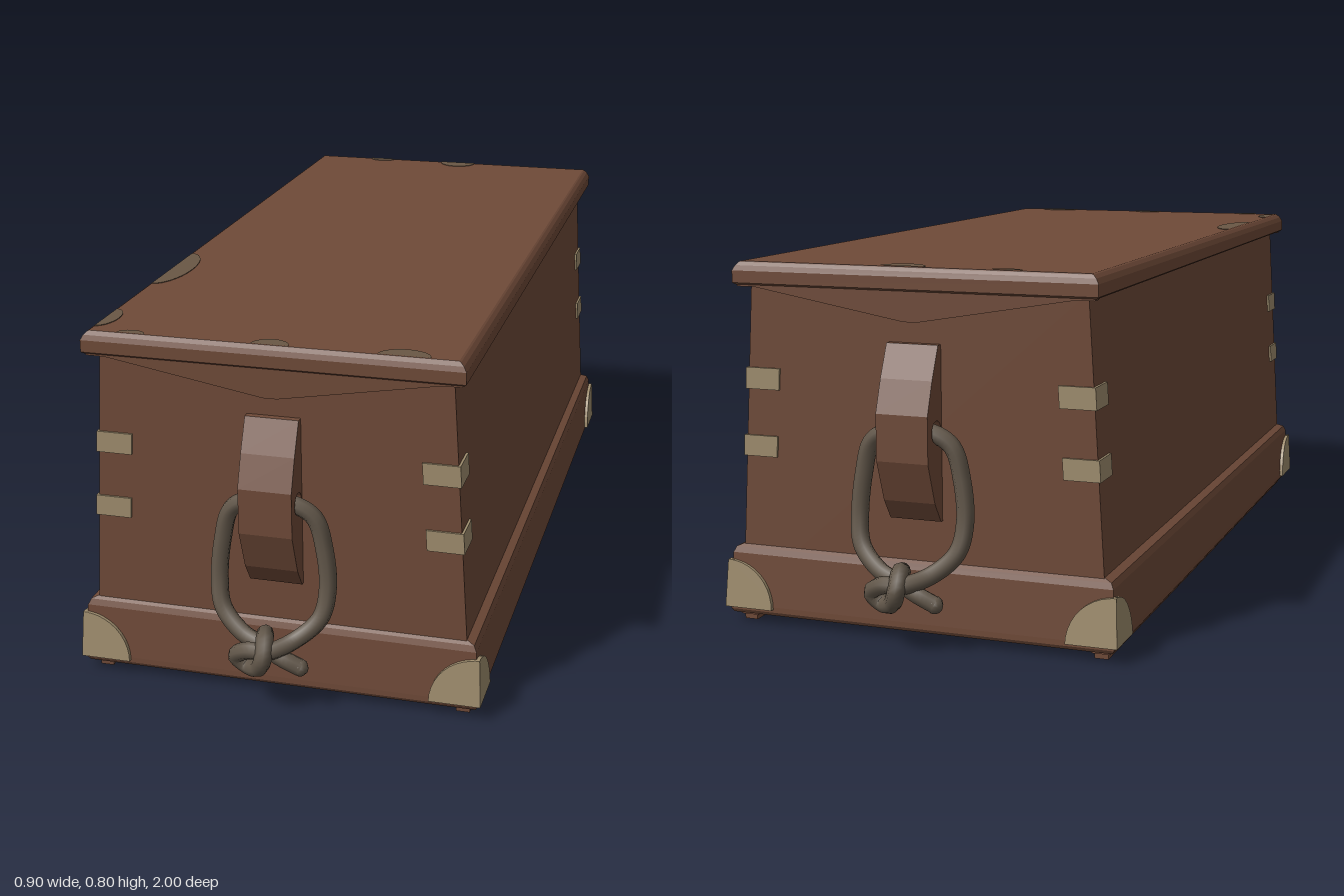
import * as THREE from 'three';

const material = (name, color, extra = {}) =>
  Object.assign(new THREE.MeshStandardMaterial({ color, ...extra }), { name });

// Rectangular rings [y, halfX, halfZ] joined from bottom to top, capped at both ends
function loft(rings) {
  const corner = ([y, hx, hz], k) => [
    [hx, y, hz], [hx, y, -hz], [-hx, y, -hz], [-hx, y, hz]][k % 4];
  const pos = [];
  const quad = (a, b, c, d) => pos.push(...a, ...b, ...c, ...a, ...c, ...d);
  for (let i = 0; i < rings.length - 1; i++) {
    for (let k = 0; k < 4; k++) {
      quad(corner(rings[i], k), corner(rings[i], k + 1),
        corner(rings[i + 1], k + 1), corner(rings[i + 1], k));
    }
  }
  const lo = rings[0], hi = rings[rings.length - 1];
  quad(...[3, 2, 1, 0].map(k => corner(lo, k)));
  quad(...[0, 1, 2, 3].map(k => corner(hi, k)));
  const g = new THREE.BufferGeometry();
  g.setAttribute('position', new THREE.Float32BufferAttribute(pos, 3));
  g.computeVertexNormals();
  return g;
}

// Thin plate whose depth follows a leaning wall
function plate(points, depth, offset) {
  const g = new THREE.ExtrudeGeometry(
    new THREE.Shape(points.map(p => new THREE.Vector2(...p))),
    { depth, bevelEnabled: false });
  const p = g.attributes.position;
  for (let i = 0; i < p.count; i++) p.setZ(i, p.getZ(i) - depth + offset(p.getY(i)));
  g.computeVertexNormals();
  return g;
}

const bodyHalf = y => 0.415 - 0.061 * (y - 0.17);
const skirtLean = y => 0.09 * (y - 0.035);

export function createModel() {
  const wood = material('brown wood', 0x6f4a38);
  const brass = material('dull brass', 0x9f8d6e);
  const rope = material('grey rope', 0x62574a);
  const worn = material('worn wood', 0x6a5745);
  const model = new THREE.Group();
  model.name = 'seaChest';

  const add = (parent, name, geometry, mat) => {
    const mesh = new THREE.Mesh(geometry, mat);
    mesh.name = name;
    parent.add(mesh);
    return mesh;
  };

  // Case, skirting with a recessed floor, and lid
  add(model, 'body', loft([[0.05, bodyHalf(0.05), 0.86], [0.76, bodyHalf(0.76), 0.86]]), wood);
  add(model, 'skirting', loft([
    [0.04, 0.405, 0.845], [0.02, 0.405, 0.845], [0.02, 0.438, 0.875], [0.028, 0.443, 0.88],
    [0.04, 0.443, 0.88], [0.155, 0.438, 0.872], [0.168, 0.432, 0.867], [0.175, 0.415, 0.858],
  ]), wood);
  add(model, 'lid', loft([
    [0.75, 0.404, 0.885], [0.754, 0.409, 0.89], [0.78, 0.409, 0.89],
    [0.791, 0.403, 0.886], [0.798, 0.396, 0.882], [0.8, 0.392, 0.88],
  ]), wood);

  // Runners under the long sides
  for (const s of [-1, 1]) {
    add(model, 'runner', new THREE.BoxGeometry(0.03, 0.04, 1.71), wood).position.set(s * 0.408, 0.02, 0);
    add(model, 'runnerStep', new THREE.BoxGeometry(0.04, 0.012, 1.72), wood).position.set(s * 0.408, 0.018, 0);
  }

  // Metal corners and straps on all four walls
  for (let k = 0; k < 4; k++) {
    const wall = new THREE.Group();
    wall.name = 'wallFittings';
    wall.rotation.y = k * Math.PI / 2;
    model.add(wall);
    const isEnd = k % 2 === 0;
    const half = isEnd ? 0.452 : 0.89;
    const out = isEnd ? 0.89 : 0.452;
    const lean = y => skirtLean(y) * (isEnd ? 1 : 0.55);
    const sideLean = y => skirtLean(y) * (isEnd ? 0.55 : 1);
    for (const s of [-1, 1]) {
      const pts = [[s * half, 0.035]];
      for (let i = 0; i <= 10; i++) {
        const a = Math.PI / 2 * i / 10;
        const y = 0.035 + 0.105 * Math.cos(a);
        pts.push([s * (half - 0.113 * Math.sin(a) - sideLean(y) * (1 - i / 10)), y]);
      }
      add(wall, 'cornerPlate', plate(pts, 0.012, y => out - lean(y)), brass);

      for (const [y0, y1] of [[0.374, 0.42], [0.522, 0.569]]) {
        const edge = y => (isEnd ? bodyHalf(y) + 0.005 : 0.865);
        const inner = y => edge(y) - 0.08;
        const strap = [[inner(y0), y0], [edge(y0), y0], [edge(y1), y1], [inner(y1), y1]]
          .map(([x, y]) => [s * x, y]);
        add(wall, 'cornerStrap',
          plate(strap, 0.009, y => (isEnd ? 0.865 : bodyHalf(y) + 0.005)), brass);
      }
    }
  }

  // End cleats, handle blocks and rope beckets
  const V = (x, y, z) => new THREE.Vector3(x, y, z);
  for (const turn of [0, Math.PI]) {
    const end = new THREE.Group();
    end.name = 'endHandle';
    end.rotation.y = turn;
    model.add(end);

    add(end, 'lidCleat', plate(
      [[-0.405, 0.76], [-0.4, 0.746], [-0.36, 0.746], [-0.015, 0.686], [0.015, 0.686],
        [0.36, 0.746], [0.4, 0.746], [0.405, 0.76]], 0.025, () => 0.884), wood);

    const side = new THREE.Shape([[0.85, 0.265], [0.869, 0.265], [0.9, 0.31], [0.934, 0.4],
      [0.934, 0.5], [0.908, 0.57], [0.875, 0.64], [0.85, 0.64]].map(p => new THREE.Vector2(...p)));
    side.holes.push(new THREE.Path().absarc(0.888, 0.46, 0.024, 0, Math.PI * 2, true));
    const block = new THREE.ExtrudeGeometry(side, { depth: 0.116, bevelEnabled: false, curveSegments: 8 });
    block.translate(0, 0, -0.058).rotateY(-Math.PI / 2);
    add(end, 'handleBlock', block, wood);

    // One strand: tail, left side, through the block, right side, then the knot
    const strand = [
      V(0.072, 0.106, 0.94), V(0.035, 0.125, 0.945), V(-0.01, 0.145, 0.935),
      V(-0.06, 0.165, 0.925), V(-0.108, 0.21, 0.905), V(-0.12, 0.27, 0.888), V(-0.112, 0.36, 0.882),
      V(-0.092, 0.43, 0.884), V(-0.055, 0.456, 0.888), V(0, 0.462, 0.888), V(0.055, 0.456, 0.888),
      V(0.092, 0.43, 0.884), V(0.112, 0.36, 0.882), V(0.12, 0.27, 0.888), V(0.108, 0.21, 0.905),
      V(0.06, 0.165, 0.93), V(0.01, 0.148, 0.965), V(-0.035, 0.145, 0.965), V(-0.066, 0.122, 0.95),
      V(-0.045, 0.1, 0.945), V(-0.012, 0.108, 0.968), V(0.004, 0.14, 0.982),
      V(0, 0.172, 0.955), V(-0.01, 0.165, 0.92),
    ];
    const curve = new THREE.CatmullRomCurve3(strand);
    add(end, 'ropeBecket', new THREE.TubeGeometry(curve, 140, 0.019, 8), rope);
    for (const p of [strand[0], strand[strand.length - 1]]) {
      add(end, 'ropeEnd', new THREE.SphereGeometry(0.019, 8, 6), rope).position.copy(p);
    }
  }

  // Worn half-round patches along the lid edges: x, z, half sizes, inward turn
  for (const [x, z, rx, rz, turn] of [
    [-0.392, 0.4, 0.05, 0.13, 0], [-0.392, 0.79, 0.03, 0.06, 0],
    [0.02, -0.88, 0.05, 0.05, -Math.PI / 2], [-0.21, -0.88, 0.035, 0.025, -Math.PI / 2],
    [0, 0.88, 0.04, 0.035, Math.PI / 2], [0.28, 0.88, 0.055, 0.04, Math.PI / 2],
    [-0.3, 0.88, 0.03, 0.02, Math.PI / 2],
  ]) {
    const g = new THREE.CylinderGeometry(1, 1, 0.002, 14, 1, false, 0, Math.PI);
    g.rotateY(turn).scale(rx, 1, rz);
    add(model, 'wornPatch', g, worn).position.set(x, 0.8005, z);
  }
  return model;
}
